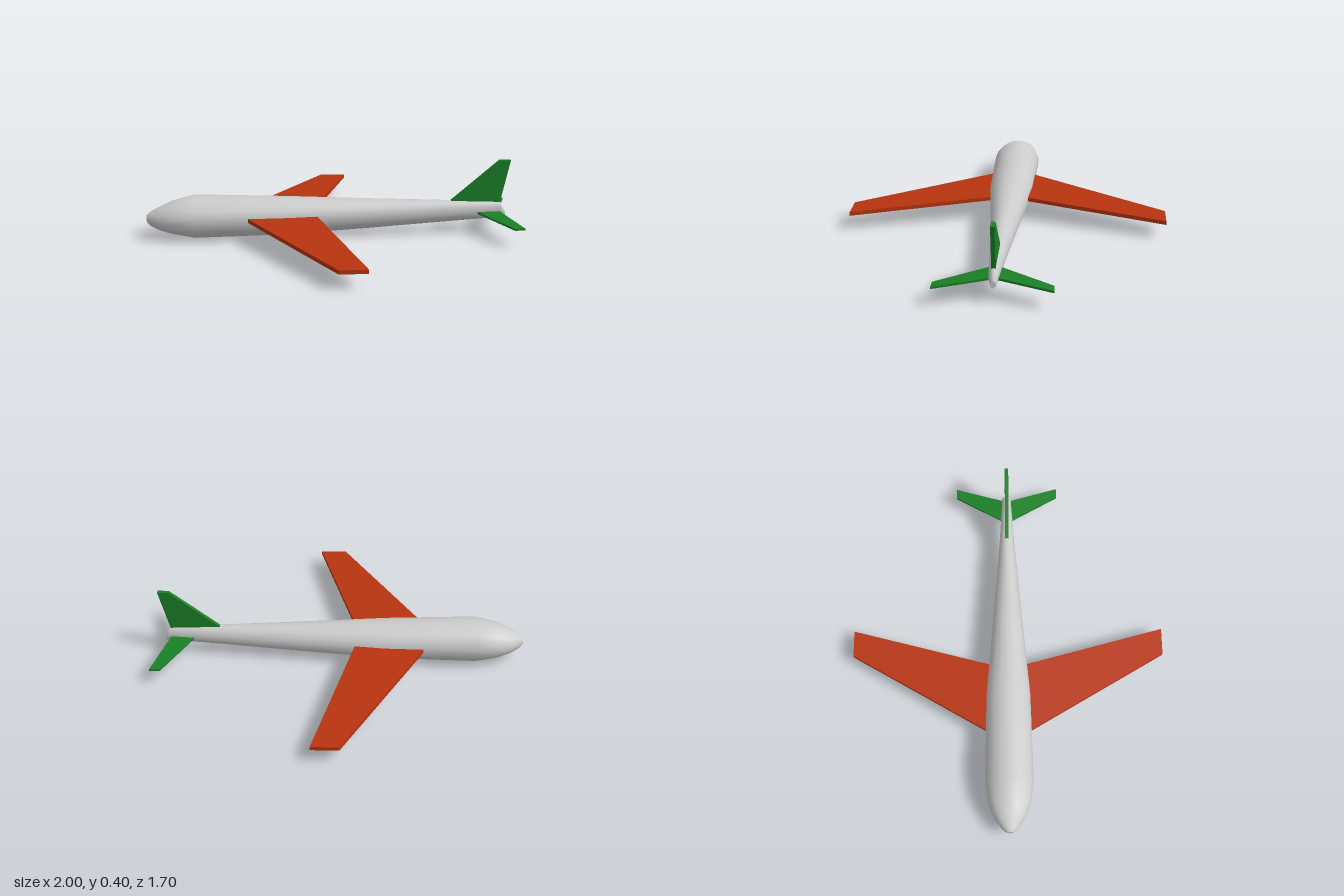
import * as THREE from 'three';

const GREY = 0xcccccc, RED = 0xb8340f, GREEN = 0x1a8026;
const SIDES = 18;

function paint(color) {
  return new THREE.MeshStandardMaterial({ color });
}

// Closed skin through elliptical stations [x, bottom, top, halfWidth]
function loft(stations) {
  const pos = [], idx = [];
  for (const [x, bottom, top, hw] of stations) {
    for (let i = 0; i < SIDES; i++) {
      const a = (i / SIDES) * Math.PI * 2;
      pos.push(x, (top + bottom) / 2 + Math.cos(a) * (top - bottom) / 2, Math.sin(a) * hw);
    }
  }
  for (let s = 0; s < stations.length - 1; s++) {
    for (let i = 0; i < SIDES; i++) {
      const j = (i + 1) % SIDES;
      const a = s * SIDES + i, b = s * SIDES + j;
      idx.push(a, b, a + SIDES, b, b + SIDES, a + SIDES);
    }
  }
  // End caps with their own vertices, so the rims stay sharp
  [0, stations.length - 1].forEach((s) => {
    const base = pos.length / 3;
    pos.push(...pos.slice(s * SIDES * 3, (s + 1) * SIDES * 3));
    for (let i = 1; i < SIDES - 1; i++) {
      if (s === 0) idx.push(base, base + i + 1, base + i);
      else idx.push(base, base + i, base + i + 1);
    }
  });
  const g = new THREE.BufferGeometry();
  g.setAttribute('position', new THREE.Float32BufferAttribute(pos, 3));
  g.setIndex(idx);
  g.computeVertexNormals();
  return g;
}

// Tapered slab: a unit box whose span axis runs from root to tip.
// Each end is { lead, trail, span, y, thick }.
function surface(root, tip) {
  const g = new THREE.BoxGeometry(1, 1, 1);
  const p = g.attributes.position;
  for (let i = 0; i < p.count; i++) {
    const e = p.getZ(i) > 0 ? tip : root;
    p.setXYZ(i, p.getX(i) < 0 ? e.lead : e.trail, e.y + p.getY(i) * e.thick, e.span);
  }
  const flat = g.toNonIndexed();
  flat.computeVertexNormals();
  return flat;
}

export function createModel() {
  const model = new THREE.Group();
  const add = (name, geometry, color) => {
    const mesh = new THREE.Mesh(geometry, paint(color));
    mesh.name = name;
    model.add(mesh);
    return mesh;
  };

  // Fuselage, nose at -x
  add('fuselage', loft([
    [-1.0, 0.09, 0.13, 0.018],
    [-0.98, 0.07, 0.148, 0.042],
    [-0.93, 0.046, 0.172, 0.078],
    [-0.86, 0.026, 0.204, 0.111],
    [-0.74, 0.003, 0.235, 0.13],
    [-0.25, 0.013, 0.218, 0.12],
    [0.2, 0.038, 0.2, 0.08],
    [0.65, 0.066, 0.184, 0.042],
    [0.92, 0.083, 0.176, 0.024],
    [0.95, 0.086, 0.122, 0.014],
  ]), GREY);

  // Drooping swept wings and tailplanes, mirrored across z
  const wing = {
    root: { lead: -0.498, trail: -0.099, span: 0.05, y: 0.127, thick: 0.021 },
    tip: { lead: -0.02, trail: 0.125, span: 0.85, y: 0.095, thick: 0.021 },
  };
  const tail = {
    root: { lead: 0.775, trail: 0.91, span: 0.0, y: 0.119, thick: 0.011 },
    tip: { lead: 0.945, trail: 1.0, span: 0.287, y: 0.102, thick: 0.011 },
  };
  for (const [label, turn] of [['left', 1], ['right', -1]]) {
    for (const [part, shape, color] of [['Wing', wing, RED], ['Tailplane', tail, GREEN]]) {
      const g = surface(shape.root, shape.tip);
      if (turn < 0) {
        // Half turn about x, then restore the droop by mirrored heights
        const flip = (e) => ({ ...e, y: -e.y });
        g.copy(surface(flip(shape.root), flip(shape.tip))).rotateX(Math.PI);
      }
      add(label + part, g, color);
    }
  }

  // Upright fin
  const fin = new THREE.Shape([
    new THREE.Vector2(0.57, 0.11), new THREE.Vector2(0.905, 0.11),
    new THREE.Vector2(0.92, 0.175), new THREE.Vector2(0.97, 0.406),
    new THREE.Vector2(0.91, 0.406), new THREE.Vector2(0.65, 0.183),
  ]);
  const finGeo = new THREE.ExtrudeGeometry(fin, { depth: 0.02, bevelEnabled: false });
  add('tailFin', finGeo.translate(0, 0, -0.01), GREEN);

  return model;
}
